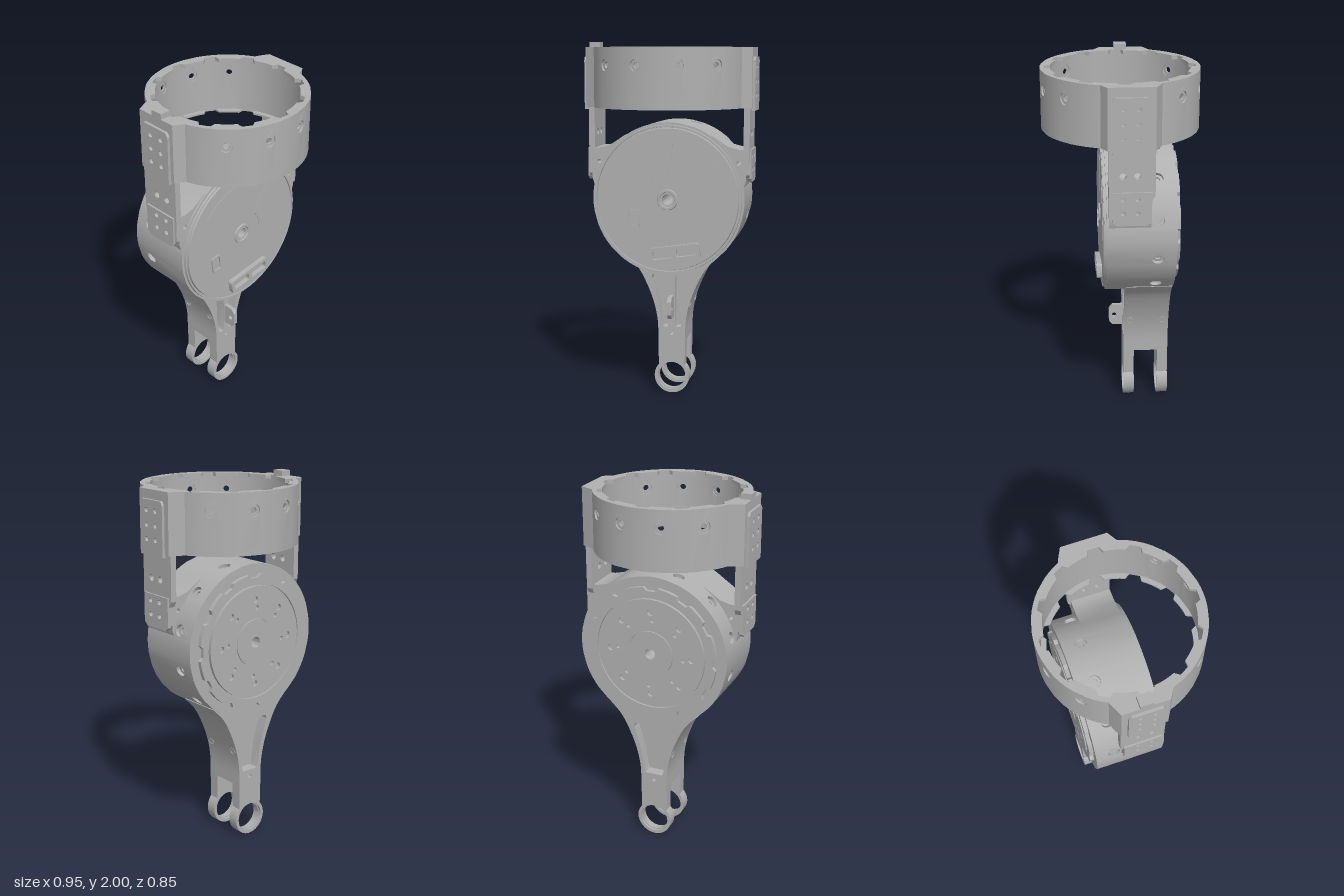
import * as THREE from 'three';
import { mergeGeometries, toCreasedNormals } from 'three/addons/utils/BufferGeometryUtils.js';

const metal = new THREE.MeshStandardMaterial({ color: 0xb0b0b0 });
metal.name = 'machined grey';
const RAD = Math.PI / 180;
const AXIS_Y = 1.14; // height of the drum axis

export function createModel() {
  const model = new THREE.Group();
  model.name = 'rotaryJoint';

  const add = (name, geo, x = 0, y = 0, z = 0, parent = model) => {
    const mesh = new THREE.Mesh(geo, metal);
    mesh.name = name;
    mesh.position.set(x, y, z);
    parent.add(mesh);
    return mesh;
  };
  const extrude = (shape, depth) => toCreasedNormals(
    new THREE.ExtrudeGeometry(shape, { depth, bevelEnabled: false, curveSegments: 24 }), 0.5);
  const poly = pts => new THREE.Shape(pts.map(p => new THREE.Vector2(p[0], p[1])));
  const circle = (x, y, r, Type = THREE.Path) => new Type().absarc(x, y, r, 0, Math.PI * 2, false);
  const disc = (r, holes = []) => {
    const s = circle(0, 0, r, THREE.Shape);
    s.holes.push(...holes.map(h => circle(...h)));
    return s;
  };
  const roundRect = (w, h, r, Type = THREE.Shape, cx = 0, cy = 0) => {
    const x = w / 2 - r, y = h / 2 - r, q = Math.PI / 2;
    return new Type()
      .absarc(cx + x, cy + y, r, 0, q).absarc(cx - x, cy + y, r, q, 2 * q)
      .absarc(cx - x, cy - y, r, 2 * q, 3 * q).absarc(cx + x, cy - y, r, 3 * q, 4 * q);
  };
  // Closed outline alternating between two radii, one tooth every 30 degrees
  const toothed = (base, tooth, Type = THREE.Path) => {
    const pts = [];
    for (let k = 0; k < 12; k++) {
      for (const a of [4, 6.5, 11, 15, 19, 23.5, 26, 30]) {
        const r = a > 5 && a < 25 ? tooth : base;
        const t = (a + 30 * k) * RAD;
        pts.push(new THREE.Vector2(r * Math.cos(t), r * Math.sin(t)));
      }
    }
    return new Type(pts);
  };
  // Flat panels, some with a hole, bent round into a cylindrical wall
  const bentWall = (r0, r1, height, holeY, hasHole) => {
    const parts = [];
    const panel = (from, to, hole) => {
      const a = from * RAD * r1, b = to * RAD * r1;
      const s = poly([[a, 0], [b, 0], [b, height], [a, height]]);
      if (hole) s.holes.push(circle((a + b) / 2, holeY, 0.032));
      const g = new THREE.ExtrudeGeometry(s, { depth: r1 - r0, bevelEnabled: false, curveSegments: 20 });
      const p = g.attributes.position;
      for (let i = 0; i < p.count; i++) {
        const t = p.getX(i) / r1, r = r0 + p.getZ(i);
        p.setXYZ(i, r * Math.sin(t), p.getY(i), r * Math.cos(t));
      }
      parts.push(g);
    };
    for (let k = 0; k < 12; k++) {
      const a = 30 * k;
      panel(a, a + 5); panel(a + 5, a + 10);
      if (hasHole(a + 15)) panel(a + 10, a + 20, true);
      else { panel(a + 10, a + 15); panel(a + 15, a + 20); }
      panel(a + 20, a + 25); panel(a + 25, a + 30);
    }
    return toCreasedNormals(mergeGeometries(parts), 0.4);
  };
  // Countersunk seats inside the wall holes
  const seats = (name, r, y, hasHole, parent) => {
    for (let a = 15; a < 360; a += 30) {
      if (!hasHole(a)) continue;
      const g = extrude(disc(0.033, [[0, 0, 0.016]]), 0.01);
      const m = add(name, g, r * Math.sin(a * RAD), y, r * Math.cos(a * RAD), parent);
      m.rotation.y = a * RAD;
    }
  };

  // ---- Upper collar
  const collarHole = a => Math.abs(Math.sin(a * RAD)) < 0.9;
  add('collarWall', bentWall(0.40, 0.425, 0.325, 0.23, collarHole), 0, 1.645, 0);
  seats('collarSeat', 0.405, 1.875, collarHole, model);
  const lip = disc(0.42);
  lip.holes.push(toothed(0.40, 0.372));
  const lipGeo = depth => extrude(lip, depth).rotateX(-Math.PI / 2);
  add('collarTopLip', lipGeo(0.022), 0, 1.948, 0);
  add('collarBottomLip', lipGeo(0.01), 0, 1.645, 0);

  // ---- Side flanges, straps and bolt plates
  const extrudeX = (shape, depth) => extrude(shape, depth).rotateY(Math.PI / 2); // shape x = -z
  const sideHoles = (shape, rows, r) => {
    for (const y of rows) for (const x of [-0.015, 0.06]) shape.holes.push(circle(x, y, r));
    return shape;
  };
  for (const s of [1, -1]) {
    const side = s > 0 ? 'left' : 'right';
    const addX = (name, shape, x0, x1) => add(side + name, extrudeX(shape, x1 - x0), s > 0 ? x0 : -x1);
    const flange = [[0.375, 0.19], [0.405, 0.178], [0.46, 0.152], [0.46, -0.092], [0.40, -0.128], [0.38, -0.128]];
    for (let a = -16; a <= 24; a += 8) flange.push([0.402 * Math.cos(a * RAD), 0.402 * Math.sin(a * RAD)]);
    add(side + 'Flange', extrude(poly(flange.map(p => [p[0] * s, p[1]])), 0.325).rotateX(-Math.PI / 2), 0, 1.645, 0);
    const strap = poly([[-0.085, 1.66], [0.153, 1.66], [0.153, 1.4], [0.135, 1.37],
      [0.135, 1.27], [0.115, 1.25], [-0.06, 1.25], [-0.085, 1.28]]);
    sideHoles(strap, [1.505], 0.018);
    addX('Strap', sideHoles(strap, [1.385, 1.31], 0.014), 0.415, 0.448);
    addX('UpperBoltPlate', sideHoles(poly([[-0.07, 1.63], [0.12, 1.63], [0.12, 1.9], [0.105, 1.92],
      [-0.055, 1.92], [-0.07, 1.9]]), [1.865, 1.79, 1.715], 0.014), 0.455, 0.475);
    addX('LowerBoltPlate', sideHoles(poly([[-0.07, 1.26], [-0.045, 1.24], [0.11, 1.24], [0.135, 1.26],
      [0.135, 1.42], [-0.07, 1.42]]), [1.385, 1.31], 0.014), 0.438, 0.458);
    // Ear joining the strap to the drum
    const ear = poly([[0.24, 1.495], [0.33, 1.435], [0.39, 1.42], [0.43, 1.42], [0.43, 1.25],
      [0.42, 1.215], [0.37, 1.2], [0.25, 1.4]].map(p => [p[0] * s, p[1]]));
    ear.holes.push(circle(0.39 * s, 1.345, 0.012));
    add(side + 'Ear', extrude(ear, 0.22), 0, 0, -0.135);
  }
  add('latchBlock', new THREE.BoxGeometry(0.06, 0.07, 0.07), -0.43, 1.965, -0.025);

  // ---- Drum: built upright about y, then laid so that y points to the front
  const drum = new THREE.Group();
  drum.name = 'drum';
  drum.position.y = AXIS_Y;
  drum.rotation.x = Math.PI / 2;
  model.add(drum);
  const drumHole = a => Math.cos(a * RAD) < 0.9;
  add('drumWall', bentWall(0.385, 0.425, 0.37, 0.1, drumHole), 0, -0.275, 0, drum);
  seats('drumSeat', 0.395, -0.175, drumHole, drum);
  const core = [[0.03, -0.285], [0.33, -0.285], [0.345, -0.275], [0.388, -0.275], [0.388, 0.09], [0.412, 0.095],
    [0.41, 0.108], [0.403, 0.108], [0.402, 0.098], [0.396, 0.098], [0.393, 0.112], [0.058, 0.112],
    [0.055, 0.12], [0.043, 0.12], [0.04, 0.113], [0.03, 0.113], [0.03, -0.285]];
  add('drumCore', toCreasedNormals(
    new THREE.LatheGeometry(core.map(p => new THREE.Vector2(...p)), 72).toNonIndexed(), 0.4), 0, 0, 0, drum);

  // ---- Rear output face
  const rim = toothed(0.352, 0.372, THREE.Shape);
  rim.holes.push(circle(0, 0, 0.318));
  add('rearToothedRim', extrude(rim, 0.022), 0, AXIS_Y, -0.297);
  const bolts = [[0, 0, 0.13]];
  for (let k = 0; k < 8; k++) {
    const a = k * 45 * RAD;
    bolts.push([0.235 * Math.cos(a), 0.235 * Math.sin(a), 0.018]);
    bolts.push([0.19 * Math.cos(a + 0.06), 0.19 * Math.sin(a + 0.06), 0.012]);
  }
  add('rearBoltDisc', extrude(disc(0.308, bolts), 0.02), 0, AXIS_Y, -0.302);
  add('rearHub', extrude(disc(0.128, [[0, 0, 0.03]]), 0.025), 0, AXIS_Y, -0.306);

  // ---- Front cover details
  for (const [from, to] of [[84, 142], [-6, 54]]) {
    const s = new THREE.Shape().absarc(0, 0, 0.325, from * RAD, to * RAD, false)
      .absarc(0, 0, 0.13, (to - 6) * RAD, (from + 6) * RAD, true);
    add('coverSector', extrude(s, 0.005), 0, AXIS_Y, 0.11);
  }
  const socket = roundRect(0.285, 0.085, 0.018);
  socket.holes.push(roundRect(0.11, 0.045, 0.008, THREE.Path, -0.067, 0),
    roundRect(0.11, 0.045, 0.008, THREE.Path, 0.067, 0));
  add('socketFrame', extrude(socket, 0.03), 0.043, 0.845, 0.11).rotation.z = 0.15;
  const port = roundRect(0.065, 0.1, 0.012);
  port.holes.push(roundRect(0.045, 0.08, 0.006, THREE.Path));
  add('portFrame', extrude(port, 0.01), -0.195, 1.033, 0.11).rotation.z = 0.13;

  // ---- Lower arm: front and rear cheeks round a shorter middle web
  const edge = new THREE.SplineCurve([[0.262, 0.8], [0.195, 0.73], [0.145, 0.64], [0.103, 0.53], [0.081, 0.42],
    [0.078, 0.3], [0.075, 0.166]].map(p => new THREE.Vector2(...p))).getPoints(36).map(p => [p.x, p.y]);
  const mirror = pts => pts.map(p => [-p[0], p[1]]).reverse();
  const cheek = () => {
    const s = poly(edge);
    s.absarc(0, 0.1, 0.1, 0.72, Math.PI - 0.72, true);
    mirror(edge).forEach(p => s.lineTo(...p));
    s.holes.push(circle(0, 0.1, 0.082), circle(0, 0.35, 0.01));
    return s;
  };
  const front = cheek(), rear = cheek();
  const pocket = [[0.018, 0.41], [0.025, 0.39], [0.05, 0.39], [0.058, 0.41], [0.075, 0.53], [0.118, 0.67],
    [0.11, 0.69], [0.03, 0.69], [0.018, 0.675]];
  const toPath = pts => new THREE.Path(pts.map(p => new THREE.Vector2(...p)));
  front.holes.push(toPath(pocket), toPath(mirror(pocket)));
  const half = pocket.slice(2, 7);
  rear.holes.push(toPath([...half, ...mirror(half)]));
  add('armFrontCheek', extrude(front, 0.06), 0, 0, -0.075);
  add('armRearCheek', extrude(rear, 0.06), 0, 0, -0.27);
  const web = [...edge.filter(p => p[1] > 0.32), [0.078, 0.31]];
  add('armWeb', extrude(poly([...web, ...mirror(web)]), 0.135), 0, 0, -0.21);
  for (const s of [1, -1]) for (const z of [-0.05, -0.235]) {
    const m = add('armPinSeat', extrude(disc(0.022, [[0, 0, 0.014]]), 0.004), s * 0.098, 0.515, z);
    m.rotation.set(0, s * Math.PI / 2, -s * 0.2, 'ZYX');
  }
  // Bearing sleeves in the fork eyes
  for (const z of [-0.06, -0.255]) add('forkSleeve', extrude(disc(0.084, [[0, 0, 0.077]]), 0.03), 0, 0.1, z);

  // Cable tab on the front of the arm
  const tab = poly([[0.03, 0.45], [-0.045, 0.45], [-0.065, 0.475], [-0.065, 0.55], [-0.045, 0.575], [0.03, 0.575]]);
  tab.holes.push(circle(-0.035, 0.51, 0.014));
  add('cableTab', extrudeX(tab, 0.024), -0.012);

  return model;
}
